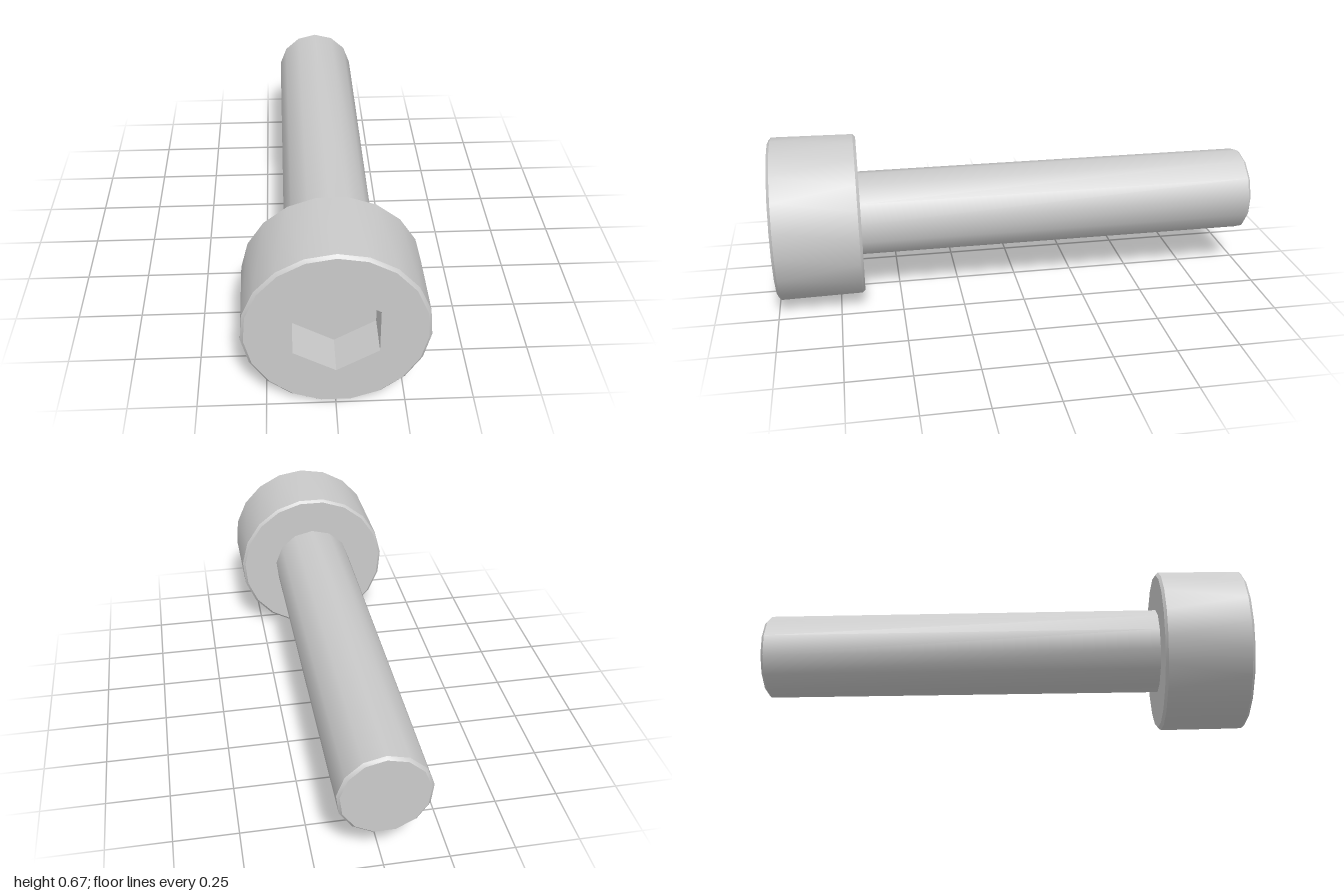
import * as THREE from 'three';

const steel = new THREE.MeshStandardMaterial({ color: 0xcacaca });
steel.name = 'steel grey';

// n points clockwise around the z axis; turn is in steps, 0 puts a corner at the top
function ring(n, r, turn = 0) {
  return Array.from({ length: n }, (_, i) => {
    const a = ((i + turn) / n) * Math.PI * 2;
    return new THREE.Vector2(r * Math.sin(a), r * Math.cos(a));
  });
}

// Band of triangles from a front ring to a back ring, facing outwards
function band(front, zFront, back, zBack, { inward = false, flat = false } = {}) {
  const n = front.length, pos = [], index = [];
  front.forEach(p => pos.push(p.x, p.y, zFront));
  back.forEach(p => pos.push(p.x, p.y, zBack));
  const tri = (a, b, c) => index.push(...(inward ? [a, c, b] : [a, b, c]));
  for (let i = 0; i < n; i++) {
    const j = (i + 1) % n;
    tri(i, j, n + i);
    tri(j, n + j, n + i);
  }
  let g = new THREE.BufferGeometry();
  g.setAttribute('position', new THREE.Float32BufferAttribute(pos, 3));
  g.setIndex(index);
  if (flat) g = g.toNonIndexed();
  g.computeVertexNormals();
  return g;
}

// Flat polygon at depth z, optionally with a hole, facing front or back
function cap(outline, z, hole, facesBack = false) {
  const mirror = pts => facesBack ? pts.map(p => new THREE.Vector2(-p.x, p.y)) : pts;
  const shape = new THREE.Shape(mirror(outline));
  if (hole) shape.holes.push(new THREE.Path(mirror(hole)));
  const g = new THREE.ShapeGeometry(shape);
  if (facesBack) g.rotateY(Math.PI);
  return g.translate(0, 0, z);
}

export function createModel() {
  const model = new THREE.Group();
  model.name = 'socketScrew';
  const add = (parent, name, geometry) => {
    const mesh = new THREE.Mesh(geometry, steel);
    mesh.name = name;
    parent.add(mesh);
  };
  const part = name => {
    const g = new THREE.Group();
    g.name = name;
    model.add(g);
    return g;
  };

  const N = 19, R = 0.334, bevel = 0.011, headBack = 0.65;
  const M = 13, S = 0.175, depth = 0.155;
  const hex = ring(6, 0.176);
  const shaftRing = ring(M, S), tipRing = ring(M, S - bevel);

  // Head: the back ring is turned half a step against the front ring
  const head = part('head');
  const face = ring(N, R - bevel), front = ring(N, R);
  const back = ring(N, R, 0.5), under = ring(N, R - bevel, 0.5);
  add(head, 'headFace', cap(face, 1, hex));
  add(head, 'headFrontBevel', band(face, 1, front, 1 - bevel));
  add(head, 'headSide', band(front, 1 - bevel, back, headBack + bevel));
  add(head, 'headBackBevel', band(back, headBack + bevel, under, headBack));
  add(head, 'headUnderside', cap(under, headBack, shaftRing, true));

  // Hexagonal socket
  const socket = part('socket');
  add(socket, 'socketWalls', band(hex, 1, hex, 1 - depth, { inward: true, flat: true }));
  add(socket, 'socketFloor', cap(hex, 1 - depth));

  // Shaft
  const shaft = part('shaft');
  add(shaft, 'shaftSide', band(shaftRing, headBack, shaftRing, -1 + bevel));
  add(shaft, 'shaftTipBevel', band(shaftRing, -1 + bevel, tipRing, -1));
  add(shaft, 'shaftTip', cap(tipRing, -1, null, true));

  model.position.y = R;
  return model;
}
